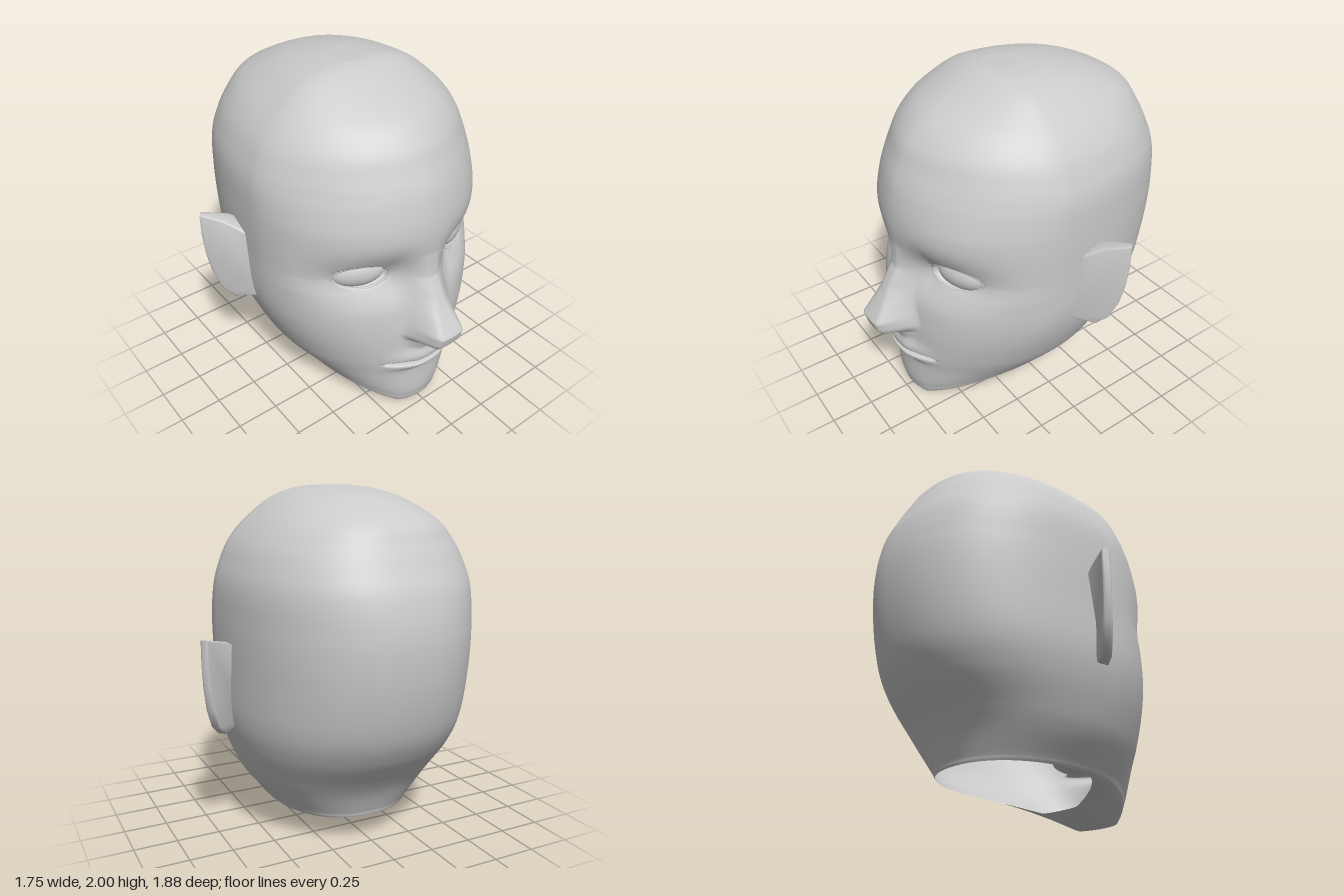
import * as THREE from 'three';
import { toCreasedNormals } from 'three/addons/utils/BufferGeometryUtils.js';

// double sided because the neck is open
const material = new THREE.MeshStandardMaterial({ color: 0xcccccc, side: THREE.DoubleSide });
const { smoothstep, clamp, lerp } = THREE.MathUtils;
const COLS = 160, WIDEST_Z = 0.05;

// rings from the neck rim, round the chin, to the crown:
// side height, half width, front z, back z, front height
const RINGS = [
  [0.16, 0.415, 0.33, -0.49, 0.06], [0.172, 0.425, 0.66, -0.495, 0], [0.2, 0.445, 0.73, -0.505, 0.08],
  [0.31, 0.53, 0.74, -0.56, 0.28], [0.41, 0.585, 0.75, -0.63, 0.41], [0.58, 0.65, 0.75, -0.77, 0.58],
  [0.75, 0.685, 0.74, -0.86, 0.75], [1.0, 0.695, 0.735, -0.92, 1.0], [1.25, 0.70, 0.75, -0.935, 1.25],
  [1.46, 0.69, 0.72, -0.90, 1.46], [1.6, 0.65, 0.665, -0.84, 1.6], [1.71, 0.595, 0.61, -0.785, 1.71],
  [1.82, 0.50, 0.50, -0.71, 1.82], [1.93, 0.36, 0.29, -0.49, 1.93], [1.98, 0.23, 0.18, -0.28, 1.98],
  [2.0, 0.10, 0.11, -0.13, 2.0],
];
const EYE = { x: 0.34, y: 1.01, rx: 0.142, ry: 0.08 };

// piecewise linear lookup in a table of rising [key, value]
function lookup(table, k) {
  if (k <= table[0][0]) return table[0][1];
  for (let i = 1; i < table.length; i++) {
    const [a, va] = table[i - 1], [b, vb] = table[i];
    if (k <= b) return lerp(va, vb, (k - a) / (b - a));
  }
  return table[table.length - 1][1];
}

const bump = (d, s) => Math.exp(-(d * d) / (s * s));

// nose, eye sockets and lips, as a push along z
const NOSE = [[0.3, 0], [0.48, 0.02], [0.545, 0.05], [0.575, 0.16], [0.6, 0.18], [0.66, 0.198],
  [0.8, 0.11], [0.97, 0.02], [1.12, 0]];
const NOSE_REACH = [[0.5, 0.16], [0.62, 0.19], [0.8, 0.16], [1, 0.13]];
const NOSE_RIDGE = [[0.66, 0.07], [0.85, 0.02]];
const SOCKET = [[0.03, 0], [0.1, 0.025], [0.2, 0.085], [0.28, 0.085], [0.36, 0.08], [0.48, 0.055], [0.64, 0]];
function features(x, y) {
  const ax = Math.abs(x);
  const noseFall = 1 - smoothstep(ax, lookup(NOSE_RIDGE, y), lookup(NOSE_REACH, y));
  let d = lookup(NOSE, y - 0.3 * Math.max(0, ax - 0.06)) * noseFall;
  d -= lookup(SOCKET, ax) * bump(y - 0.99, 0.14);
  const lip = 1 - smoothstep(ax, 0.08, 0.3);
  d += lip * (0.024 * bump(y - 0.42, 0.05) + 0.026 * bump(y - 0.35, 0.03));
  return d - 0.09 * (1 - smoothstep(ax, 0.2, 0.27)) * bump(y - 0.382, 0.008);
}

function eyeRecess(x, y) {
  const r = Math.hypot((Math.abs(x) - EYE.x) / EYE.rx, (y - EYE.y) / EYE.ry);
  return -0.05 * (1 - smoothstep(r, 0.75, 1.0));
}

// roundness of the ring outlines: leaner across the brow, fuller at the back
const FRONT_POWER = [[0.9, 1.0], [1.0, 1.04], [1.3, 1.06], [1.5, 1.15], [1.85, 1.15], [2, 1.05]];
const BACK_POWER = [[1.3, 0.89], [1.6, 0.84], [1.85, 0.84], [2, 0.95]];

// one point of a ring outline
function outline(w, front, back, phi, y) {
  const s = Math.sin(phi), c = Math.cos(phi);
  const end = c >= 0 ? front : back;
  const power = lookup(c >= 0 ? FRONT_POWER : BACK_POWER, y);
  return [w * Math.sign(s) * Math.abs(s) ** power,
    WIDEST_Z + (end - WIDEST_Z) * Math.abs(c) ** power];
}

// face surface at eye level
const faceZ = (x, y) =>
  WIDEST_Z + 0.685 * (1 - (x / 0.695) ** (2 / 1.04)) ** 0.52 + features(x, y);

// columns are packed closer towards the face
function ringAngle(c) {
  const s = -1 + (2 * c) / COLS;
  return Math.PI * Math.sign(s) * Math.abs(s) ** 1.5;
}

function headGeometry() {
  const curve = (f) => new THREE.CatmullRomCurve3(RINGS.map(f), false, 'catmullrom', 0.5);
  const size = curve(([y, w, , , frontY]) => new THREE.Vector3(w, y, frontY));
  const depth = curve(([, , f, b]) => new THREE.Vector3(f, b, 0));
  const last = RINGS.length - 1, rows = [];
  for (let i = 0; i < last; i++) {
    const dy = RINGS[i + 1][4] - RINGS[i][4];
    const step = i === 3 ? 0.005 : i < 8 ? 0.008 : 0.025;
    const n = Math.max(8, Math.ceil(dy / step));
    for (let k = 0; k < n; k++) rows.push((i + k / n) / last);
  }
  rows.push(1);
  const pos = [], index = [];
  for (const t of rows) {
    const { x: w, y: sideY, z: frontY } = size.getPoint(t);
    const { x: front, y: back } = depth.getPoint(t);
    for (let c = 0; c < COLS; c++) {
      const [x, z] = outline(w, front, back, ringAngle(c), sideY);
      const toSide = z > WIDEST_Z ? clamp((Math.abs(x) - 0.13) / Math.max(w - 0.13, 0.01), 0, 1) : 1;
      const y = Math.max(0, lerp(frontY, sideY, toSide));
      const push = features(x, y) + eyeRecess(x, y);
      pos.push(x, y, z + push * smoothstep(z, 0.1, 0.4));
    }
  }
  for (let c = 0; c < COLS; c++) pos.push(0, 2, 0); // crown
  for (let r = 0; r < rows.length; r++) {
    for (let c = 0; c < COLS; c++) {
      const a = r * COLS + c, b = r * COLS + ((c + 1) % COLS);
      index.push(a, b, a + COLS);
      if (r < rows.length - 1) index.push(b, b + COLS, a + COLS);
    }
  }
  const g = new THREE.BufferGeometry();
  g.setAttribute('position', new THREE.Float32BufferAttribute(pos, 3));
  g.setIndex(index);
  g.computeVertexNormals();
  return g;
}

// flat pocket behind the lips, seen through the open neck
function mouthGeometry() {
  const g = new THREE.SphereGeometry(1, 32, 16, Math.PI, Math.PI);
  g.scale(0.22, 0.045, 0.28);
  g.translate(0, 0.385, 0.63);
  return g;
}

// ear: slanted blade, its root thickened behind and tapering to the lobe
function earGeometry() {
  const pts = [[-0.04, 0.68], [0.13, 0.66], [0.19, 0.71], [0.24, 0.82], [0.265, 0.95], [0.275, 1.07],
    [0.275, 1.2], [0.15, 1.17], [-0.04, 1.06]].map(([u, y]) => new THREE.Vector2(u, y));
  const g = new THREE.ExtrudeGeometry(new THREE.Shape(pts), {
    depth: 0.025, bevelThickness: 0.01, bevelSize: 0.01, bevelSegments: 2,
  });
  const p = g.attributes.position;
  for (let i = 0; i < p.count; i++) {
    if (p.getZ(i) > 0.01) continue;
    const root = clamp(1 - p.getX(i) / 0.26, 0, 1) * clamp((p.getY(i) - 0.55) / 0.4, 0, 1);
    p.setZ(i, p.getZ(i) - 0.11 * root);
  }
  g.rotateY(0.77);
  g.translate(0.65, 0, -0.03);
  return toCreasedNormals(g, 0.9);
}

function eyeballGeometry() {
  const g = new THREE.SphereGeometry(1, 32, 20);
  g.scale(0.152, 0.088, 0.065);
  g.rotateY(0.45);
  g.translate(EYE.x, EYE.y, faceZ(EYE.x, EYE.y) - 0.05);
  return g;
}

// eyelid rim following the face around the opening
function eyelidGeometry() {
  const pts = [];
  for (let i = 0; i < 24; i++) {
    const a = (i / 24) * Math.PI * 2;
    const x = EYE.x + EYE.rx * Math.cos(a), y = EYE.y + EYE.ry * Math.sin(a);
    pts.push(new THREE.Vector3(x, y, faceZ(x, y) - 0.005));
  }
  return new THREE.TubeGeometry(new THREE.CatmullRomCurve3(pts, true), 64, 0.008, 8, true);
}

// mirror across x, keeping faces outward
function mirrored(geometry) {
  const g = geometry.clone().scale(-1, 1, 1);
  const ids = g.index ? Array.from(g.index.array)
    : Array.from({ length: g.attributes.position.count }, (_, i) => i);
  g.setIndex(ids.reverse());
  return g;
}

export function createModel() {
  const model = new THREE.Group();
  model.name = 'head';
  const add = (name, geometry) => {
    const mesh = new THREE.Mesh(geometry, material);
    mesh.name = name;
    model.add(mesh);
  };
  add('skullAndFace', headGeometry());
  add('mouthPocket', mouthGeometry());
  const pairs = { Ear: earGeometry(), Eyeball: eyeballGeometry(), Eyelid: eyelidGeometry() };
  for (const [name, geometry] of Object.entries(pairs)) {
    add('left' + name, geometry);
    add('right' + name, mirrored(geometry));
  }
  return model;
}
